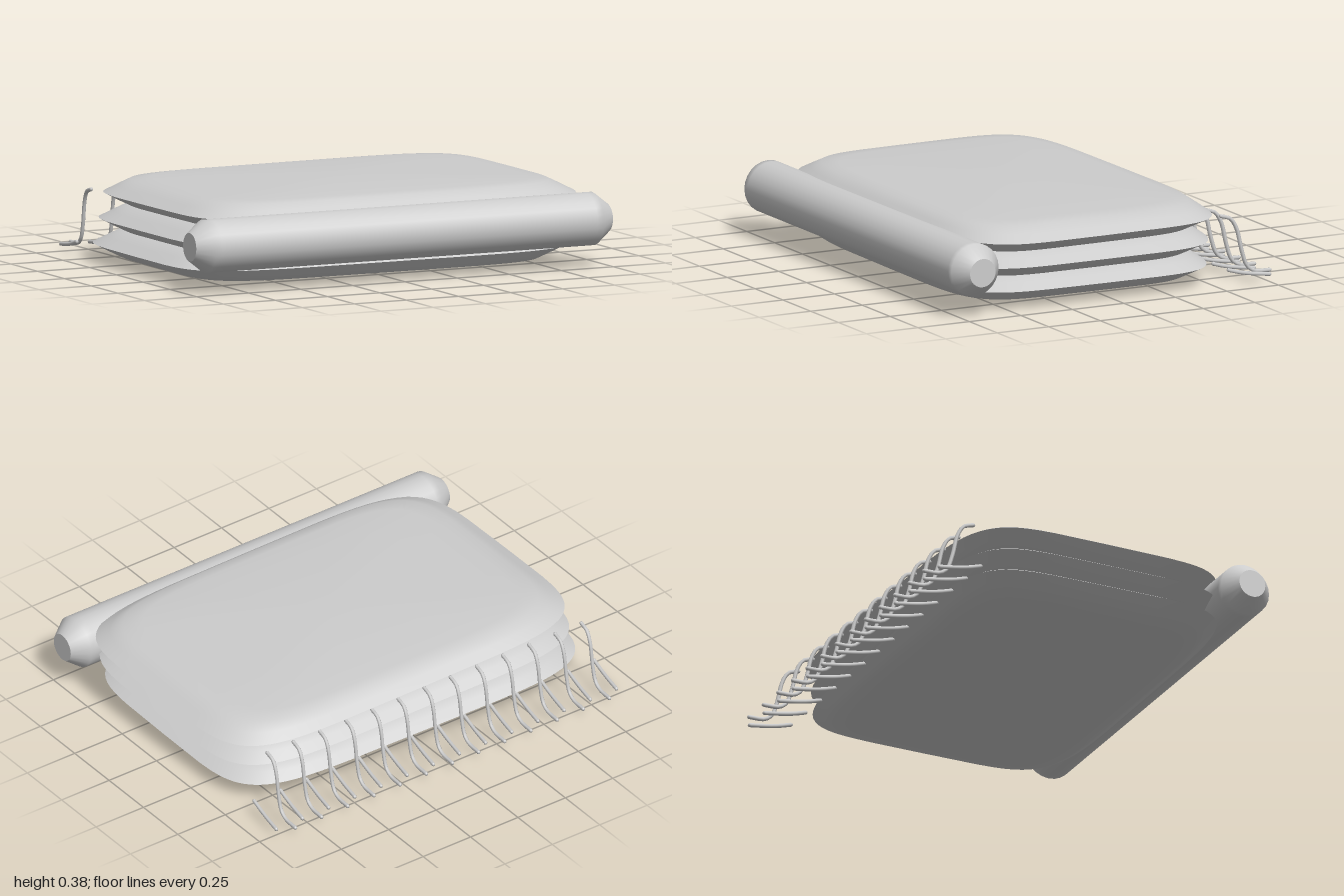
import * as THREE from 'three';
import { mergeVertices } from 'three/addons/utils/BufferGeometryUtils.js';

const HALF_X = 0.93, HALF_Z = 0.63, ROUNDNESS = 5.5;

// Half of a cushion: a dome over a rounded rectangle, rim at y = 0
function cushionHalf(sign) {
  const profile = [[1, 0], [0.94, 0.03], [0.885, 0.056], [0.8, 0.064], [0.6, 0.071], [0.3, 0.078], [0, 0.08]]
    .map(([r, y]) => new THREE.Vector2(r, y * sign));
  if (sign < 0) profile.reverse();
  let geo = new THREE.LatheGeometry(profile, 64);
  const p = geo.attributes.position;
  for (let i = 0; i < p.count; i++) {
    const x = p.getX(i), z = p.getZ(i), r = Math.hypot(x, z);
    if (r < 1e-6) { p.setXYZ(i, 0, p.getY(i), 0); continue; }
    // superellipse outline
    const warp = (v) => Math.sign(v) * Math.pow(Math.abs(v / r), 2 / ROUNDNESS) * r;
    p.setX(i, warp(x) * HALF_X);
    p.setZ(i, warp(z) * HALF_Z);
  }
  geo.deleteAttribute('uv');
  geo.deleteAttribute('normal');
  geo = mergeVertices(geo, 1e-5);
  geo.computeVertexNormals();
  return geo;
}

export function createModel() {
  const group = new THREE.Group();
  const cloth = new THREE.MeshStandardMaterial({ color: 0xcccccc });
  cloth.name = 'light grey cloth';

  const add = (geo, name, parent = group) => {
    const mesh = new THREE.Mesh(geo, cloth);
    mesh.name = name;
    parent.add(mesh);
    return mesh;
  };

  // Three stacked cushions, each slightly shifted and turned
  const upper = cushionHalf(1), lower = cushionHalf(-1);
  [
    ['bottomCushion', -0.005, 0.08, 0.05, -0.012],
    ['middleCushion', 0.018, 0.19, 0.06, 0],
    ['topCushion', 0.04, 0.3, 0.06, 0.012],
  ].forEach(([name, x, y, z, turn]) => {
    const cushion = new THREE.Group();
    cushion.name = name;
    cushion.position.set(x, y, z);
    cushion.rotation.y = turn;
    add(upper, name + 'Upper', cushion);
    add(lower, name + 'Lower', cushion);
    group.add(cushion);
  });

  // Bolster roll along the front with tapered ends
  const roll = new THREE.Group();
  roll.name = 'bolster';
  roll.position.set(0, 0.205, 0.685);
  roll.rotation.z = -Math.PI / 2;
  const rollProfile = [[0.062, -1], [0.115, -0.93], [0.115, -0.9], [0.115, 0.9], [0.115, 0.93], [0.062, 1]];
  add(new THREE.LatheGeometry(rollProfile.map(([r, y]) => new THREE.Vector2(r, y)), 24), 'bolsterBody', roll);
  for (const s of [-1, 1]) {
    const cap = add(new THREE.CircleGeometry(0.062, 24), 'bolsterEnd', roll);
    cap.position.y = s;
    cap.rotation.x = -s * Math.PI / 2;
  }
  group.add(roll);

  // Fringe along the back: low strands alternate with high, drooping ones
  const strand = (points) => new THREE.CatmullRomCurve3(points.map((q) => new THREE.Vector3(...q)));
  const lowCurve = strand([[0, 0.065, -0.565], [0.005, 0.05, -0.62], [0.012, 0.04, -0.68], [0.02, 0.032, -0.752]]);
  const highCurve = strand([[0, 0.287, -0.565], [0.002, 0.272, -0.61], [0.006, 0.225, -0.638],
    [0.01, 0.13, -0.66], [0.013, 0.06, -0.685], [0.015, 0.036, -0.72], [0.017, 0.032, -0.792]]);
  const R = 0.009;
  const tip = new THREE.SphereGeometry(R, 6, 4);
  const kinds = [lowCurve, highCurve].map((curve, i) => ({
    tube: new THREE.TubeGeometry(curve, i ? 18 : 8, R, 6),
    ends: [curve.getPoint(0), curve.getPoint(1)],
  }));
  const fringe = new THREE.Group();
  fringe.name = 'fringe';
  for (let i = 0; i < 27; i++) {
    const { tube, ends } = kinds[i % 2];
    const thread = add(tube, 'fringeStrand', fringe);
    thread.position.x = -0.9 + i * 0.069;
    ends.forEach((e) => add(tip, 'strandTip', thread).position.copy(e));
  }
  group.add(fringe);

  return group;
}
